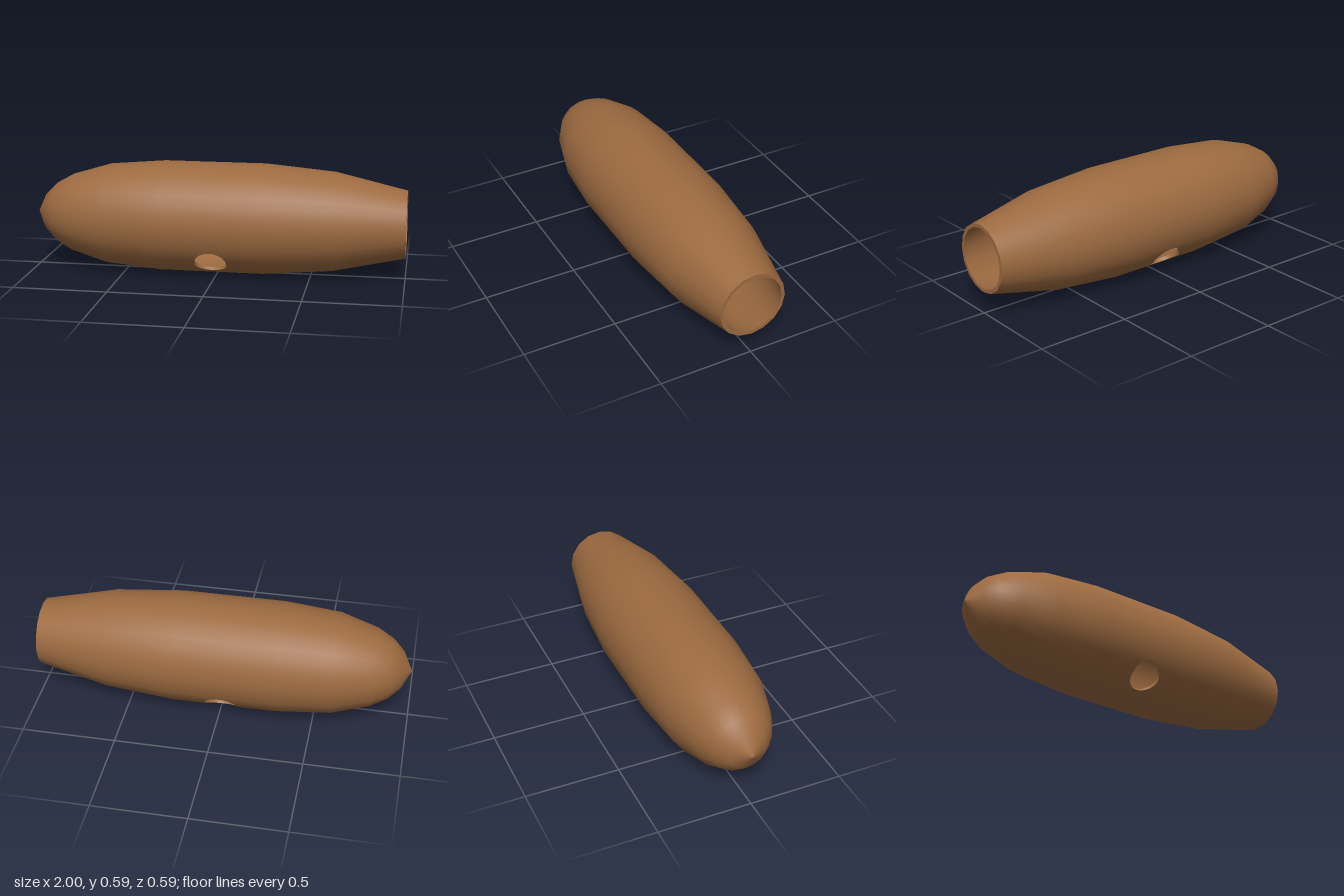
import * as THREE from 'three';

const CY = 0.296;              // height of the long axis
const STEP = Math.PI / 16;     // 32 columns; the cross-section is basically 16-sided
const HALF = Math.PI / 8;      // half angle of the sector around each side hole
const HOLE_X = -0.012, HOLE_R = 0.086;
const HOLE_ANGLES = [3 * Math.PI / 4, 5 * Math.PI / 4]; // measured from straight up

// profiles along x: [x, radius]; the straight section lies between rings 5 and 6
const OUTER = [[-1, 0], [-0.95, 0.1], [-0.89, 0.16], [-0.8, 0.21], [-0.6, 0.27],
  [-0.3, 0.296], [0.25, 0.296], [0.62, 0.264], [1, 0.181]];
const INNER = [[-0.975, 0], [-0.93, 0.085], [-0.88, 0.14], [-0.79, 0.19], [-0.6, 0.25],
  [-0.3, 0.276], [0.25, 0.276], [0.62, 0.244], [1, 0.162]];
const BAND = 5;

const V = (x, y, z) => new THREE.Vector3(x, y, z);

// collects quads of {p, n}; each triangle is wound to agree with its normals
class Builder {
  pos = [];
  nor = [];
  tri(...c) {
    const g = c[1].p.clone().sub(c[0].p).cross(c[2].p.clone().sub(c[0].p));
    if (g.length() < 1e-9) return;
    const n = c[0].n.clone().add(c[1].n).add(c[2].n);
    if (g.dot(n) < 0) c.reverse();
    for (const v of c) {
      this.pos.push(...v.p.toArray());
      this.nor.push(...v.n.toArray());
    }
  }
  quad(a, b, c, d) {
    this.tri(a, b, c);
    this.tri(a, c, d);
  }
  mesh(name, material) {
    const g = new THREE.BufferGeometry();
    g.setAttribute('position', new THREE.Float32BufferAttribute(this.pos, 3));
    g.setAttribute('normal', new THREE.Float32BufferAttribute(this.nor, 3));
    const m = new THREE.Mesh(g, material);
    m.name = name;
    return m;
  }
}

// vertex of a lathed wall; the outer wall is rounder over the top
function wallPoint(profile, i, j, side) {
  const [x, r] = profile[i];
  const a = j * STEP;
  const fine = side > 0 && i < profile.length - 1 && (j <= 6 || j >= 26);
  const k = j % 2 && !fine ? Math.cos(STEP) : 1;
  const p0 = profile[Math.max(i - 1, 0)], p1 = profile[Math.min(i + 1, profile.length - 1)];
  const slope = (p1[1] - p0[1]) / (p1[0] - p0[0]);
  return {
    p: V(x, CY + r * k * Math.cos(a), r * k * Math.sin(a)),
    n: V(-slope, Math.cos(a), Math.sin(a)).normalize().multiplyScalar(side),
  };
}

// point on the two facets that meet at angle A, at tangent offset t
function facetPoint(A, r, x, t, side) {
  const d = r - Math.abs(t) * Math.tan(HALF / 2);
  const c = Math.cos(A), s = Math.sin(A);
  const y = d * c - t * s, z = d * s + t * c;
  return { p: V(x, CY + y, z), n: V(0, y, z).normalize().multiplyScalar(side) };
}

const holePoint = (A, r, i, side) => facetPoint(A, r,
  HOLE_X + HOLE_R * Math.cos(i * STEP), HOLE_R * Math.sin(i * STEP), side);

// point on the rectangle around a hole, walked in step with the hole edge
function framePoint(A, profile, i, side) {
  const c = Math.cos(i * STEP), s = Math.sin(i * STEP);
  const m = Math.max(Math.abs(c), Math.abs(s));
  const x0 = profile[BAND][0], x1 = profile[BAND + 1][0], r = profile[BAND][1];
  const x = (x0 + x1) / 2 + (c / m) * (x1 - x0) / 2;
  return facetPoint(A, r, x, (s / m) * r * Math.sin(HALF), side);
}

function wall(name, profile, side, material) {
  const b = new Builder();
  for (let i = 0; i < profile.length - 1; i++) {
    for (let j = 0; j < 32; j++) {
      const mid = (j + 0.5) * STEP;
      if (i === BAND && HOLE_ANGLES.some(A => Math.abs(mid - A) < HALF)) continue;
      b.quad(wallPoint(profile, i, j, side), wallPoint(profile, i, j + 1, side),
        wallPoint(profile, i + 1, j + 1, side), wallPoint(profile, i + 1, j, side));
    }
  }
  // panels pierced by the side holes
  const r = profile[BAND][1];
  for (const A of HOLE_ANGLES) {
    for (let i = 0; i < 32; i++) {
      b.quad(holePoint(A, r, i, side), holePoint(A, r, i + 1, side),
        framePoint(A, profile, i + 1, side), framePoint(A, profile, i, side));
    }
  }
  return b.mesh(name, material);
}

// flat ring closing the wall at the open end
function mouthRim(material) {
  const b = new Builder();
  const end = OUTER.length - 1;
  const at = (profile, j) => ({ p: wallPoint(profile, end, j, 1).p, n: V(1, 0, 0) });
  for (let j = 0; j < 32; j++) {
    b.quad(at(OUTER, j), at(OUTER, j + 1), at(INNER, j + 1), at(INNER, j));
  }
  return b.mesh('mouthRim', material);
}

// wall thickness seen inside a side hole
function holeEdge(name, A, material) {
  const b = new Builder();
  const at = (profile, i) => {
    const c = Math.cos(i * STEP), s = Math.sin(i * STEP);
    return {
      p: holePoint(A, profile[BAND][1], i, 1).p,
      n: V(-c, s * Math.sin(A), -s * Math.cos(A)),
    };
  };
  for (let i = 0; i < 32; i++) {
    b.quad(at(OUTER, i), at(OUTER, i + 1), at(INNER, i + 1), at(INNER, i));
  }
  return b.mesh(name, material);
}

export function createModel() {
  const wood = new THREE.MeshStandardMaterial({ color: 0x9c6a40 });
  wood.name = 'brown wood';
  const group = new THREE.Group();
  group.name = 'hollowToggle';
  group.add(
    wall('outerWall', OUTER, 1, wood),
    wall('innerWall', INNER, -1, wood),
    mouthRim(wood),
    holeEdge('frontHoleEdge', HOLE_ANGLES[0], wood),
    holeEdge('backHoleEdge', HOLE_ANGLES[1], wood),
  );
  return group;
}
